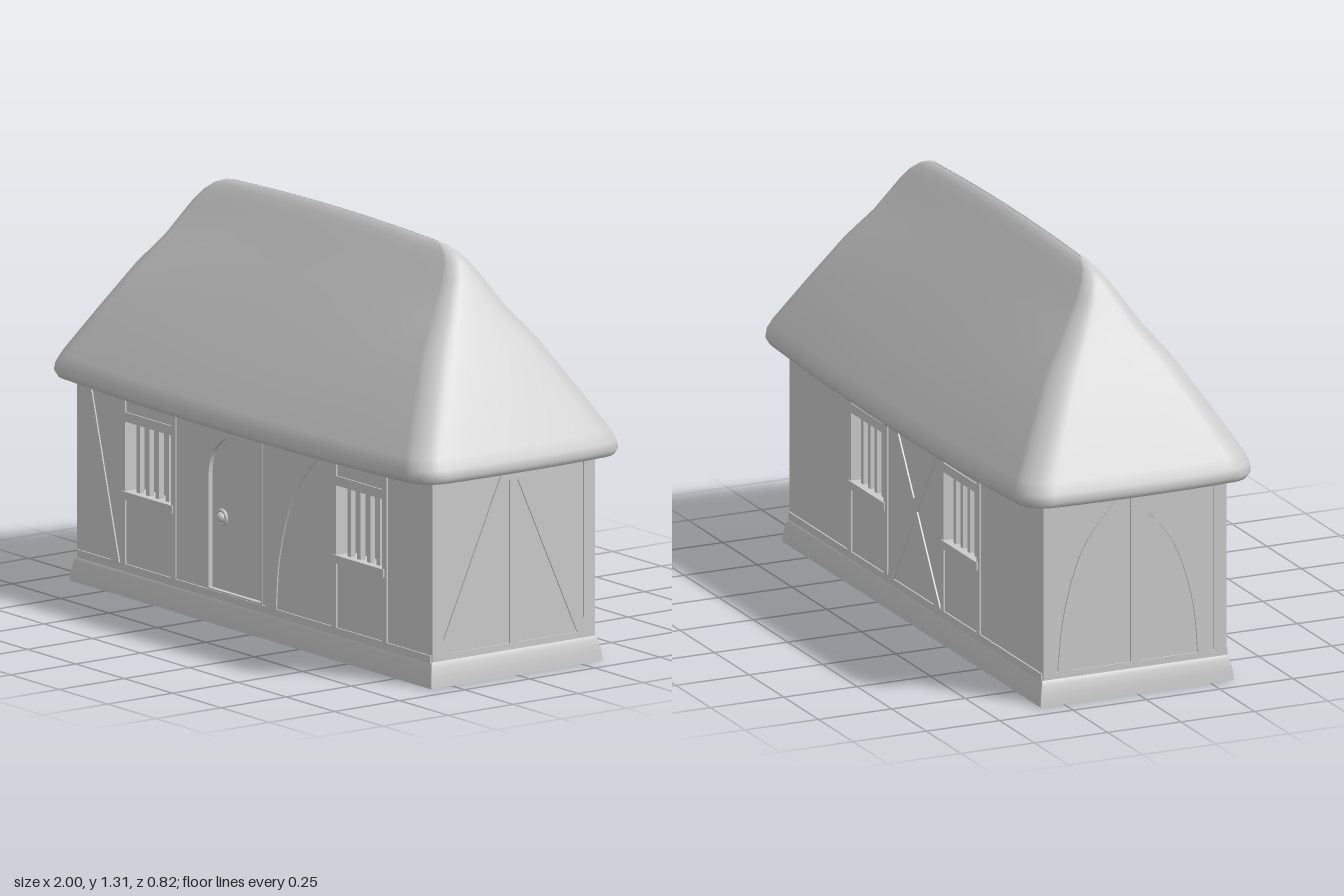
import * as THREE from 'three';

const mat = new THREE.MeshStandardMaterial({ color: 0xcccccc, side: THREE.DoubleSide });
const HX = 0.912, HZ = 0.312, RAISE = 0.005;

function add(parent, geometry, name, x = 0, y = 0, z = 0) {
  const mesh = new THREE.Mesh(geometry, mat);
  mesh.name = name;
  mesh.position.set(x, y, z);
  parent.add(mesh);
  return mesh;
}

const polygon = pts => new THREE.Shape(pts.map(p => new THREE.Vector2(p[0], p[1])));
const rect = (x0, y0, x1, y1) => polygon([[x0, y0], [x1, y0], [x1, y1], [x0, y1]]);
const extrude = (shape, depth) =>
  new THREE.ExtrudeGeometry(shape, { depth, bevelEnabled: false, curveSegments: 16 });

// Flat timber lying on a wall
function timber(wall, pts, name) {
  add(wall, extrude(polygon(pts), RAISE + 0.002), name, 0, 0, -0.002);
}
function post(wall, x0, y0, x1, y1, name) {
  timber(wall, [[x0, y0], [x1, y0], [x1, y1], [x0, y1]], name);
}
// Bent timber between two edge curves
function curvedBrace(wall, inner, outer, mirror = 1) {
  const line = pts => new THREE.SplineCurve(pts.map(p => new THREE.Vector2(p[0] * mirror, p[1]))).getPoints(14);
  const pts = [...line(inner), ...line(outer).reverse()];
  timber(wall, pts.map(p => [p.x, p.y]), 'curvedBrace');
}

// Barred window set into a recess, with posts at both sides
function barredWindow(wall, cx) {
  const g = new THREE.Group();
  g.name = 'window';
  g.position.x = cx;
  wall.add(g);
  const w = 0.118, y0 = 0.33, y1 = 0.55, d = 0.06, h = y1 - y0, cy = (y0 + y1) / 2;
  add(g, new THREE.PlaneGeometry(2 * w, h), 'windowBack', 0, cy, -d);
  for (const s of [-1, 1]) {
    add(g, new THREE.PlaneGeometry(d, h), 'windowReveal', s * w, cy, -d / 2).rotation.y = -s * Math.PI / 2;
    add(g, new THREE.PlaneGeometry(2 * w, d), 'windowReveal', 0, cy + s * h / 2, -d / 2).rotation.x = s * Math.PI / 2;
    const a = s * w, b = s * (w + 0.024);
    post(g, Math.min(a, b), 0.1, Math.max(a, b), 0.65, 'windowPost');
  }
  post(g, -w - 0.012, y1, w + 0.012, 0.58, 'lintel');
  add(g, new THREE.BoxGeometry(2 * w + 0.024, 0.026, 0.02), 'windowSill', 0, y0 - 0.013, 0);
  for (let i = 0; i < 4; i++) {
    add(g, new THREE.BoxGeometry(0.018, h, 0.018), 'windowBar', (i - 1.5) * 0.05, cy, -0.022);
  }
}

// Wall facing +z locally, turned into place
function makeWall(parent, name, half, dist, angle, windows = [], door = null) {
  const wall = new THREE.Group();
  wall.name = name;
  wall.position.set(Math.sin(angle) * dist, 0, Math.cos(angle) * dist);
  wall.rotation.y = angle;
  parent.add(wall);
  const shape = rect(-half, 0.07, half, 0.67);
  for (const cx of windows) shape.holes.push(rect(cx - 0.118, 0.33, cx + 0.118, 0.55));
  if (door) shape.holes.push(door);
  add(wall, new THREE.ShapeGeometry(shape), name + 'Panel');
  post(wall, -half, 0.075, half, 0.1, 'bottomRail');
  windows.forEach(cx => barredWindow(wall, cx));
  return wall;
}

// Loft through rounded rectangles [y, halfX, halfZ, cornerRadius]; bow swells the sides
function loft(rings, bow = 0, arc = 5, side = 8) {
  const pos = [], idx = [];
  let n = 0;
  for (const [y, hx, hz, r] of rings) {
    const corners = [[1, 1], [-1, 1], [-1, -1], [1, -1]], ring = [];
    corners.forEach(([sx, sz], c) => {
      const arcPts = [];
      for (let i = 0; i <= arc; i++) {
        const a = (c + i / arc) * Math.PI / 2;
        arcPts.push([sx * (hx - r) + r * Math.cos(a), sz * (hz - r) + r * Math.sin(a)]);
      }
      ring.push(...arcPts);
      const [ex, ez] = arcPts[arc], [nx, nz] = corners[(c + 1) % 4];
      const a = (c + 1) * Math.PI / 2;
      const tx = nx * (hx - r) + r * Math.cos(a), tz = nz * (hz - r) + r * Math.sin(a);
      for (let i = 1; i < side; i++) ring.push([ex + (tx - ex) * i / side, ez + (tz - ez) * i / side]);
    });
    n = ring.length;
    for (const [x, z] of ring) {
      const u = (x / hx) ** 2, v = (z / Math.max(hz, 1e-4)) ** 2;
      pos.push(x * (1 - 0.4 * bow * v), y - 0.3 * bow * u * (y > 1 ? 1 : -1), z * (1 - bow * u));
    }
  }
  for (let j = 0; j < rings.length - 1; j++) {
    for (let i = 0; i < n; i++) {
      const a = j * n + i, b = j * n + (i + 1) % n;
      idx.push(a, a + n, b, b, a + n, b + n);
    }
  }
  const geo = new THREE.BufferGeometry();
  geo.setAttribute('position', new THREE.Float32BufferAttribute(pos, 3));
  geo.setIndex(idx);
  geo.computeVertexNormals();
  return geo;
}

export function createModel() {
  const house = new THREE.Group();
  house.name = 'cottage';

  // Thatched hipped roof, closed underneath
  add(house, loft([
    [0.645, 0.5, 0.001, 0.0005], [0.64, 0.9, 0.3, 0.03], [0.636, 0.96, 0.375, 0.06],
    [0.643, 0.988, 0.4, 0.08], [0.66, 1.0, 0.41, 0.09], [0.685, 0.993, 0.409, 0.09],
    [0.72, 0.975, 0.395, 0.09], [0.86, 0.893, 0.309, 0.08], [1.0, 0.81, 0.22, 0.07],
    [1.12, 0.745, 0.139, 0.055], [1.22, 0.69, 0.072, 0.04], [1.262, 0.655, 0.044, 0.03],
    [1.288, 0.615, 0.026, 0.02], [1.304, 0.57, 0.012, 0.01], [1.31, 0.53, 0.001, 0.0005],
  ], 0.04), 'roof');

  // Plinth, open underneath
  const plinth = loft([[0, 0.935, 0.33, 0.002], [0.035, 0.931, 0.327, 0.002],
    [0.065, 0.923, 0.32, 0.002], [0.079, 0.917, 0.316, 0.002], [0.08, HX, HZ, 0.001]], 0, 1, 1);
  add(house, plinth, 'plinth');

  // Front wall with arched door
  const doorX = -0.1, doorR = 0.134;
  const arch = () => {
    const p = new THREE.Path();
    p.moveTo(doorX - doorR, 0.105);
    p.lineTo(doorX + doorR, 0.105);
    p.lineTo(doorX + doorR, 0.465);
    p.absarc(doorX, 0.465, doorR, 0, Math.PI, false);
    p.lineTo(doorX - doorR, 0.105);
    return p;
  };
  const front = makeWall(house, 'frontWall', HX, HZ, 0, [-0.545, 0.545], arch());
  const frame = rect(doorX - 0.14, 0.1, doorX + 0.14, 0.63);
  frame.holes.push(arch());
  add(front, extrude(frame, 0.043), 'doorFrame', 0, 0, -0.04);
  add(front, new THREE.BoxGeometry(0.28, 0.53, 0.03), 'door', doorX, 0.365, -0.027);
  add(front, new THREE.TorusGeometry(0.022, 0.006, 8, 20), 'doorRing', -0.18, 0.335, -0.008);
  add(front, new THREE.SphereGeometry(0.018, 14, 10), 'doorKnob', -0.18, 0.335, -0.008);
  timber(front, [[-0.735, 0.1], [-0.695, 0.1], [-0.84, 0.63], [-0.875, 0.63]], 'slantedBrace');
  curvedBrace(front, [[0.065, 0.1], [0.09, 0.28], [0.16, 0.47], [0.28, 0.645]],
    [[0.115, 0.1], [0.135, 0.28], [0.21, 0.48], [0.355, 0.645]]);

  // Back wall with crossed braces between the windows
  const back = makeWall(house, 'backWall', HX, HZ, Math.PI, [-0.345, 0.325]);
  for (const s of [1, -1]) {
    const c = -0.01, a = s * 0.19, b = s * 0.145;
    timber(back, [[c - a, 0.1], [c - b, 0.1], [c + a, 0.63], [c + b, 0.63]], 'crossBrace');
  }

  // End walls: straight braces on the left, bent ones on the other side
  const left = makeWall(house, 'leftWall', HZ, HX, Math.PI / 2);
  const right = makeWall(house, 'rightWall', HZ, HX, -Math.PI / 2);
  for (const wall of [left, right]) {
    post(wall, -0.014, 0.1, 0.014, 0.65, 'middlePost');
    post(wall, -HZ, 0.1, -0.27, 0.65, 'cornerPost');
    post(wall, 0.27, 0.1, HZ, 0.65, 'cornerPost');
  }
  for (const s of [1, -1]) {
    timber(left, [[s * 0.245, 0.1], [s * 0.27, 0.1], [s * 0.27, 0.14], [s * 0.045, 0.64], [s * 0.014, 0.64], [s * 0.014, 0.62]], 'slantedBrace');
    curvedBrace(right, [[0.215, 0.1], [0.195, 0.28], [0.13, 0.47], [0.014, 0.61]],
      [[0.262, 0.1], [0.24, 0.29], [0.175, 0.49], [0.05, 0.645]], s);
  }
  return house;
}
